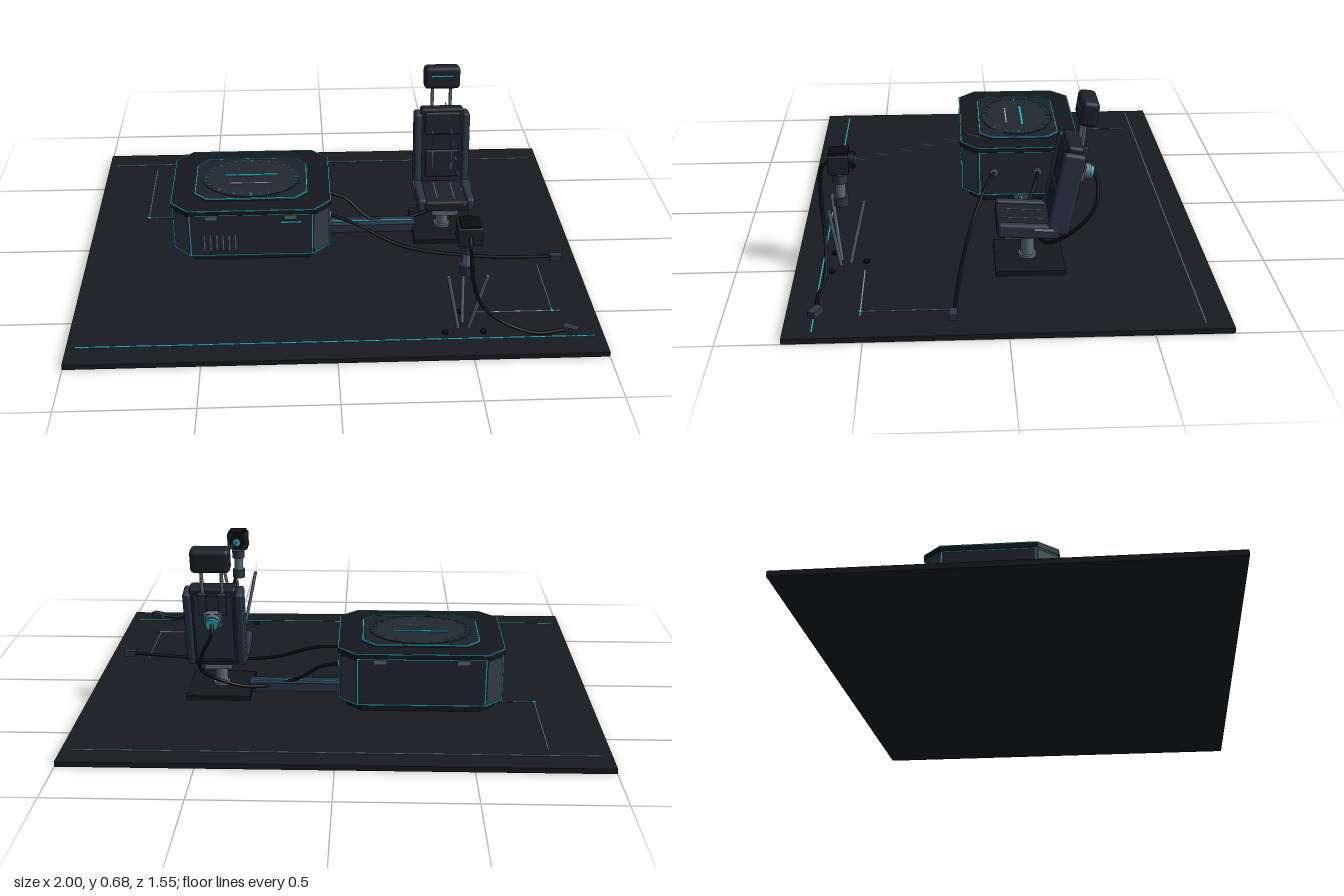
import * as THREE from 'three';
import { RoundedBoxGeometry } from 'three/addons/geometries/RoundedBoxGeometry.js';

const mat = (color) => new THREE.MeshStandardMaterial({ color });
const M = {
  floor: mat(0x181c21), dark: mat(0x15181d), body: mat(0x232931), panel: mat(0x333c4a),
  pad: mat(0x1d222a), blue: mat(0x2b3648), metal: mat(0x5c6b77), light: mat(0x9aa7b0),
  cyan: mat(0x1fb9cd), black: mat(0x0c0e11),
};

function add(parent, name, geometry, material, x = 0, y = 0, z = 0) {
  const mesh = new THREE.Mesh(geometry, material);
  mesh.name = name;
  mesh.position.set(x, y, z);
  parent.add(mesh);
  return mesh;
}
const box = (p, name, m, w, h, d, x, y, z) => add(p, name, new THREE.BoxGeometry(w, h, d), m, x, y, z);
const soft = (p, name, m, w, h, d, x, y, z, r = 0.012) =>
  add(p, name, new RoundedBoxGeometry(w, h, d, 3, r), m, x, y, z);
const cyl = (p, name, m, r, h, x, y, z, r2 = r) =>
  add(p, name, new THREE.CylinderGeometry(r2, r, h, 24), m, x, y, z);

function group(parent, name, x = 0, y = 0, z = 0) {
  const g = new THREE.Group();
  g.name = name;
  g.position.set(x, y, z);
  parent.add(g);
  return g;
}

// Rod between two points
function rod(parent, name, m, a, b, r) {
  const A = new THREE.Vector3(...a), B = new THREE.Vector3(...b);
  const dir = B.clone().sub(A);
  const mesh = add(parent, name, new THREE.CylinderGeometry(r, r, dir.length(), 12), m);
  mesh.position.copy(A).add(B).multiplyScalar(0.5);
  mesh.quaternion.setFromUnitVectors(new THREE.Vector3(0, 1, 0), dir.normalize());
}

function cable(parent, name, points) {
  const curve = new THREE.CatmullRomCurve3(points.map((p) => new THREE.Vector3(...p)));
  add(parent, name, new THREE.TubeGeometry(curve, 64, 0.007, 8), M.black);
}

// Corner points of a rectangle with chamfered corners
function octagon(w, d, c) {
  const x = w / 2, z = d / 2;
  return [[x - c, -z], [x, c - z], [x, z - c], [x - c, z], [c - x, z], [-x, z - c], [-x, c - z], [c - x, -z]]
    .map((p) => new THREE.Vector2(...p));
}

// Upright chamfered slab from y0 to y1, or only its rim
function slab(parent, name, m, w, d, c, y0, y1, rim = 0) {
  const shape = new THREE.Shape(octagon(w, d, c));
  if (rim) shape.holes.push(new THREE.Path(octagon(w - 2 * rim, d - 2 * rim, c - rim * 0.58)));
  const geo = new THREE.ExtrudeGeometry(shape, { depth: y1 - y0, bevelEnabled: false });
  geo.rotateX(-Math.PI / 2);
  return add(parent, name, geo, m, 0, y0, 0);
}

function buildFloor(root) {
  const g = group(root, 'floor');
  box(g, 'floorSlab', M.floor, 2, 0.02, 1.55, 0, 0.01, 0);
  const line = (m, w, d, x, z) => box(g, 'floorLine', m, w, 0.002, d, x, 0.021, z);
  line(M.metal, 1.93, 0.005, 0, -0.68);
  line(M.cyan, 1.93, 0.005, 0, 0.675);
  line(M.metal, 0.004, 0.42, -0.775, -0.425);
  line(M.metal, 0.13, 0.004, -0.71, -0.215);
  line(M.metal, 0.004, 0.31, 0.835, 0.36);
  line(M.light, 0.32, 0.004, 0.705, 0.515);
  for (const [x, z] of [[-0.775, -0.215], [0.835, 0.515]]) cyl(g, 'floorMarker', M.cyan, 0.008, 0.004, x, 0.022, z);
}

function buildConsole(root) {
  const g = group(root, 'console', -0.322, 0, -0.1);
  slab(g, 'plinth', M.dark, 0.58, 0.42, 0.06, 0.02, 0.055);
  slab(g, 'consoleBody', M.body, 0.635, 0.48, 0.07, 0.055, 0.25);
  slab(g, 'bottomTrim', M.cyan, 0.641, 0.486, 0.07, 0.055, 0.06);
  slab(g, 'upperTrim', M.cyan, 0.641, 0.486, 0.07, 0.247, 0.25);
  slab(g, 'lid', M.dark, 0.648, 0.49, 0.07, 0.25, 0.27);
  slab(g, 'lidOutline', M.cyan, 0.649, 0.491, 0.07, 0.268, 0.271, 0.004);
  slab(g, 'topPlate', M.pad, 0.46, 0.33, 0.05, 0.27, 0.278);
  slab(g, 'topPlateOutline', M.cyan, 0.462, 0.332, 0.05, 0.276, 0.28, 0.005);
  // Corner panels and edge strips
  octagon(0.635, 0.48, 0.07).forEach((p) => box(g, 'edgeStrip', M.cyan, 0.006, 0.19, 0.006, p.x, 0.152, p.y));
  for (const sx of [-1, 1]) for (const sz of [-1, 1]) {
    const panel = box(g, 'cornerPanel', M.panel, 0.088, 0.175, 0.004, sx * 0.2825, 0.152, sz * 0.205);
    panel.rotation.y = sx * sz * Math.PI / 4;
  }
  // Oval dial with tick marks
  const dial = cyl(g, 'dial', M.body, 1, 0.003, 0, 0.2795, 0);
  dial.geometry = new THREE.CylinderGeometry(1, 1, 0.003, 64);
  dial.scale.set(0.2, 1, 0.152);
  for (let i = 0; i < 32; i++) {
    const a = (i / 32) * Math.PI * 2, major = i % 4 === 0;
    const tick = box(g, 'dialTick', i % 2 ? M.metal : M.cyan, major ? 0.022 : 0.014, 0.003, 0.004,
      Math.cos(a) * 0.185, 0.282, Math.sin(a) * 0.138);
    tick.rotation.y = -a;
  }
  box(g, 'dialBar', M.cyan, 0.22, 0.004, 0.012, 0, 0.283, -0.02);
  box(g, 'dialSubBar', M.light, 0.17, 0.003, 0.006, 0, 0.282, 0.047);
  // Latches, vents and indicator
  for (const x of [-0.16, 0.16]) for (const s of [-1, 1]) box(g, 'latch', M.metal, 0.05, 0.018, 0.012, x, 0.237, s * 0.242);
  for (let i = 0; i < 6; i++) box(g, 'vent', M.metal, 0.005, 0.07, 0.004, -0.19 + i * 0.025, 0.12, 0.241);
  box(g, 'indicator', M.cyan, 0.08, 0.006, 0.004, 0.16, 0.212, 0.241);
  for (const z of [-0.07, 0.11]) {
    cyl(g, 'cableSocket', M.metal, 0.016, 0.015, 0.32, 0.16, z).rotation.z = Math.PI / 2;
  }
}

function buildChair(root) {
  const g = group(root, 'chair', 0.48, 0, 0);
  box(g, 'chairBase', M.dark, 0.255, 0.018, 0.26, 0, 0.029, -0.1);
  cyl(g, 'columnFoot', M.metal, 0.034, 0.012, 0, 0.044, -0.095);
  cyl(g, 'column', M.metal, 0.025, 0.1, 0, 0.09, -0.095);
  box(g, 'seatBracket', M.metal, 0.11, 0.022, 0.18, 0, 0.146, -0.095);
  // Seat
  const seat = group(g, 'seat', 0, 0.188, -0.09);
  seat.rotation.x = -0.06;
  soft(seat, 'seatCushion', M.pad, 0.18, 0.045, 0.23, 0, 0, 0);
  for (const s of [-1, 1]) {
    soft(seat, 'seatBolster', M.blue, 0.035, 0.055, 0.225, s * 0.1, 0.004, 0);
    box(seat, 'seatSeam', M.metal, 0.004, 0.003, 0.15, s * 0.035, 0.0225, 0.015);
    box(seat, 'seatTrim', M.light, 0.004, 0.008, 0.07, s * 0.1185, 0.018, -0.055);
  }
  // Reclined back
  const back = group(g, 'backrest', 0, 0.18, -0.198);
  back.rotation.x = -0.19;
  soft(back, 'backCushion', M.pad, 0.18, 0.335, 0.06, 0, 0.172, 0);
  soft(back, 'upperCushion', M.pad, 0.15, 0.1, 0.07, 0, 0.275, 0.002);
  soft(back, 'lumbarCushion', M.pad, 0.14, 0.12, 0.02, 0, 0.1, 0.03, 0.008);
  box(back, 'backPlate', M.blue, 0.15, 0.28, 0.012, 0, 0.17, -0.034);
  for (const s of [-1, 1]) {
    soft(back, 'backBolster', M.blue, 0.032, 0.32, 0.082, s * 0.1, 0.16, 0.002);
    box(back, 'backSeam', M.metal, 0.003, 0.17, 0.003, s * 0.04, 0.16, 0.0405);
    rod(back, 'headrestPost', M.metal, [s * 0.038, 0.24, -0.035], [s * 0.038, 0.44, -0.018], 0.007);
    box(back, 'postClamp', M.blue, 0.03, 0.09, 0.025, s * 0.038, 0.28, -0.04);
  }
  box(back, 'hubMount', M.metal, 0.07, 0.06, 0.025, 0, 0.22, -0.05);
  cyl(back, 'hub', M.metal, 0.03, 0.03, 0, 0.22, -0.07).rotation.x = Math.PI / 2;
  cyl(back, 'hubLight', M.cyan, 0.024, 0.012, 0, 0.22, -0.09).rotation.x = Math.PI / 2;
  // Headrest
  const head = group(g, 'headrest', 0, 0.632, -0.307);
  head.rotation.x = -0.14;
  soft(head, 'headCushion', M.pad, 0.15, 0.095, 0.066, 0, 0, 0, 0.018);
  box(head, 'headStrip', M.cyan, 0.09, 0.005, 0.003, 0, 0.01, 0.0335);
  // Rail joining the chair to the console
  box(root, 'rail', M.blue, 0.37, 0.035, 0.065, 0.18, 0.037, -0.102);
  box(root, 'railStrip', M.cyan, 0.34, 0.003, 0.008, 0.18, 0.056, -0.102);
}

function buildTripod(root) {
  const g = group(root, 'tripodCamera', 0.48, 0, 0.595);
  for (let i = 0; i < 3; i++) {
    const a = -Math.PI / 2 + (i * Math.PI * 2) / 3, c = Math.cos(a), s = Math.sin(a);
    rod(g, 'tripodLeg', M.metal, [c * 0.023, 0.02, s * 0.023], [c * 0.083, 0.275, s * 0.083], 0.007);
    cyl(g, 'tripodFoot', M.black, 0.012, 0.008, c * 0.083, 0.024, s * 0.083);
  }
  cyl(g, 'mastCollar', M.blue, 0.028, 0.036, 0, 0.283, 0);
  cyl(g, 'mast', M.metal, 0.019, 0.08, 0, 0.33, 0);
  cyl(g, 'panHead', M.blue, 0.028, 0.034, 0, 0.375, 0);
  soft(g, 'cameraBody', M.pad, 0.09, 0.075, 0.075, 0, 0.44, 0.002, 0.006);
  box(g, 'cameraTop', M.black, 0.07, 0.012, 0.07, 0, 0.48, 0);
  cyl(g, 'lensBarrel', M.black, 0.032, 0.025, 0, 0.445, -0.045).rotation.x = Math.PI / 2;
  cyl(g, 'lensGlass', M.cyan, 0.016, 0.004, 0, 0.445, -0.058).rotation.x = Math.PI / 2;
  // Dashed sight line to the headrest
  for (let i = 0; i < 9; i++) {
    box(root, 'sightDash', M.light, 0.004, 0.003, 0.048, 0.48, 0.447 + i * 0.017, 0.52 - i * 0.083).rotation.x = -0.22;
  }
}

function buildCables(root) {
  const g = group(root, 'cables');
  cable(g, 'floorCable', [[0, 0.16, 0.01], [0.1, 0.14, 0.05], [0.3, 0.065, 0.115], [0.6, 0.04, 0.16], [0.89, 0.048, 0.187]]);
  cable(g, 'railCable', [[0, 0.16, -0.17], [0.07, 0.14, -0.155], [0.18, 0.062, -0.11], [0.36, 0.045, -0.15],
    [0.5, 0.1, -0.19], [0.54, 0.18, -0.28], [0.52, 0.26, -0.345], [0.48, 0.35, -0.35], [0.48, 0.385, -0.325]]);
  cable(g, 'cameraCable', [[0.48, 0.44, 0.63], [0.48, 0.42, 0.658], [0.49, 0.3, 0.668], [0.54, 0.15, 0.655],
    [0.65, 0.058, 0.652], [0.75, 0.035, 0.67], [0.86, 0.046, 0.665]]);
  box(g, 'floorPlug', M.blue, 0.05, 0.024, 0.028, 0.912, 0.048, 0.19).rotation.y = -0.05;
  box(g, 'cameraPlug', M.blue, 0.055, 0.024, 0.03, 0.873, 0.048, 0.667).rotation.y = -0.5;
}

export function createModel() {
  const root = new THREE.Group();
  root.name = 'scanningStation';
  buildFloor(root);
  buildConsole(root);
  buildChair(root);
  buildTripod(root);
  buildCables(root);
  return root;
}
